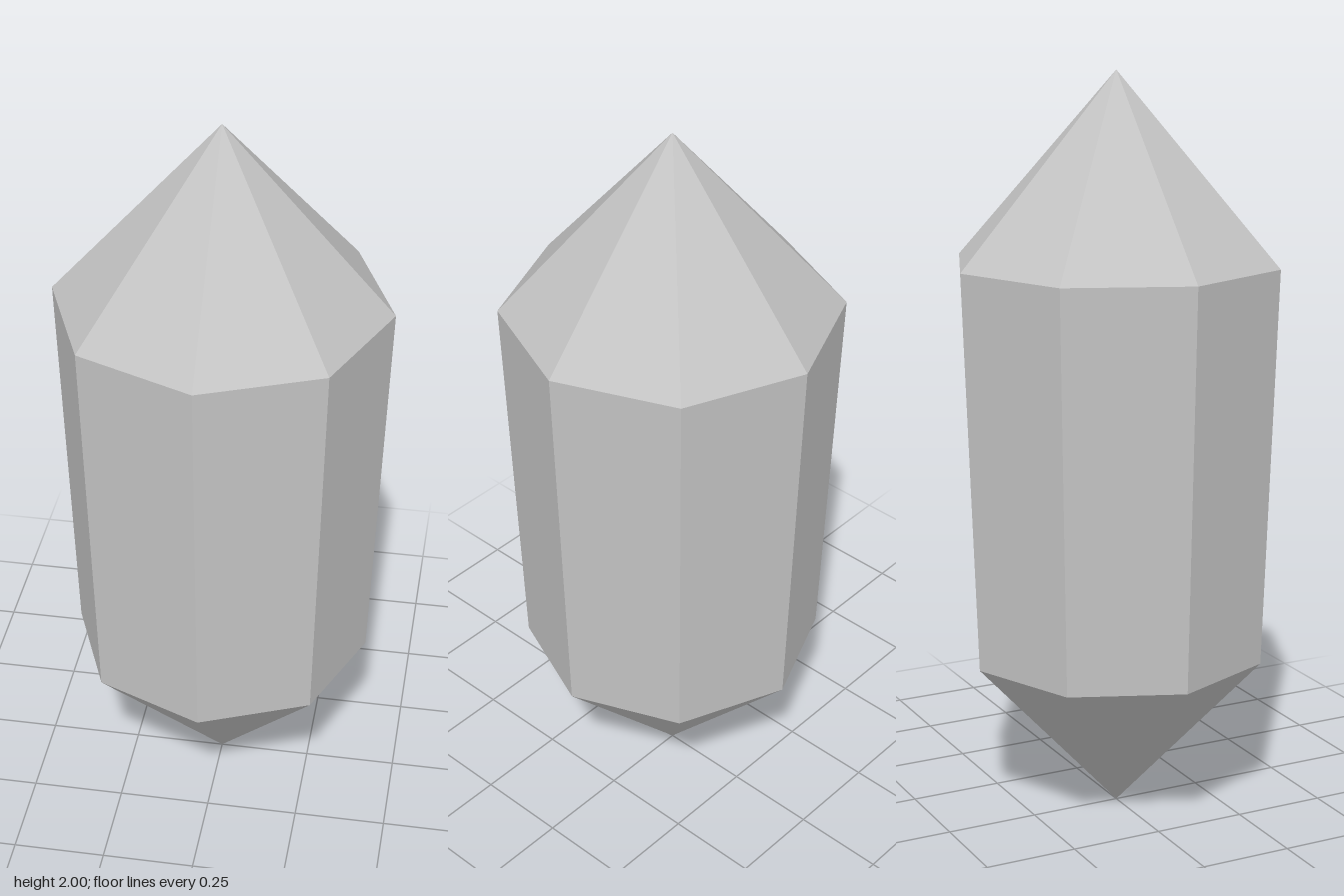
import * as THREE from 'three';

export function createModel() {
  const group = new THREE.Group();
  group.name = 'crystal';
  const stone = new THREE.MeshStandardMaterial({ color: 0xc4c4c4 });
  stone.name = 'grey stone';
  stone.flatShading = true;

  // One eight-sided section of the crystal between two heights
  function section(name, yBottom, rBottom, yTop, rTop) {
    const height = yTop - yBottom;
    const geometry = new THREE.CylinderGeometry(rTop, rBottom, height, 8, 1, true);
    const mesh = new THREE.Mesh(geometry, stone);
    mesh.name = name;
    mesh.position.y = yBottom + height / 2;
    group.add(mesh);
  }

  section('lowerPoint', 0, 0, 0.44, 0.405);
  section('shaft', 0.44, 0.405, 1.505, 0.442);
  section('upperPoint', 1.505, 0.442, 2, 0);

  return group;
}
